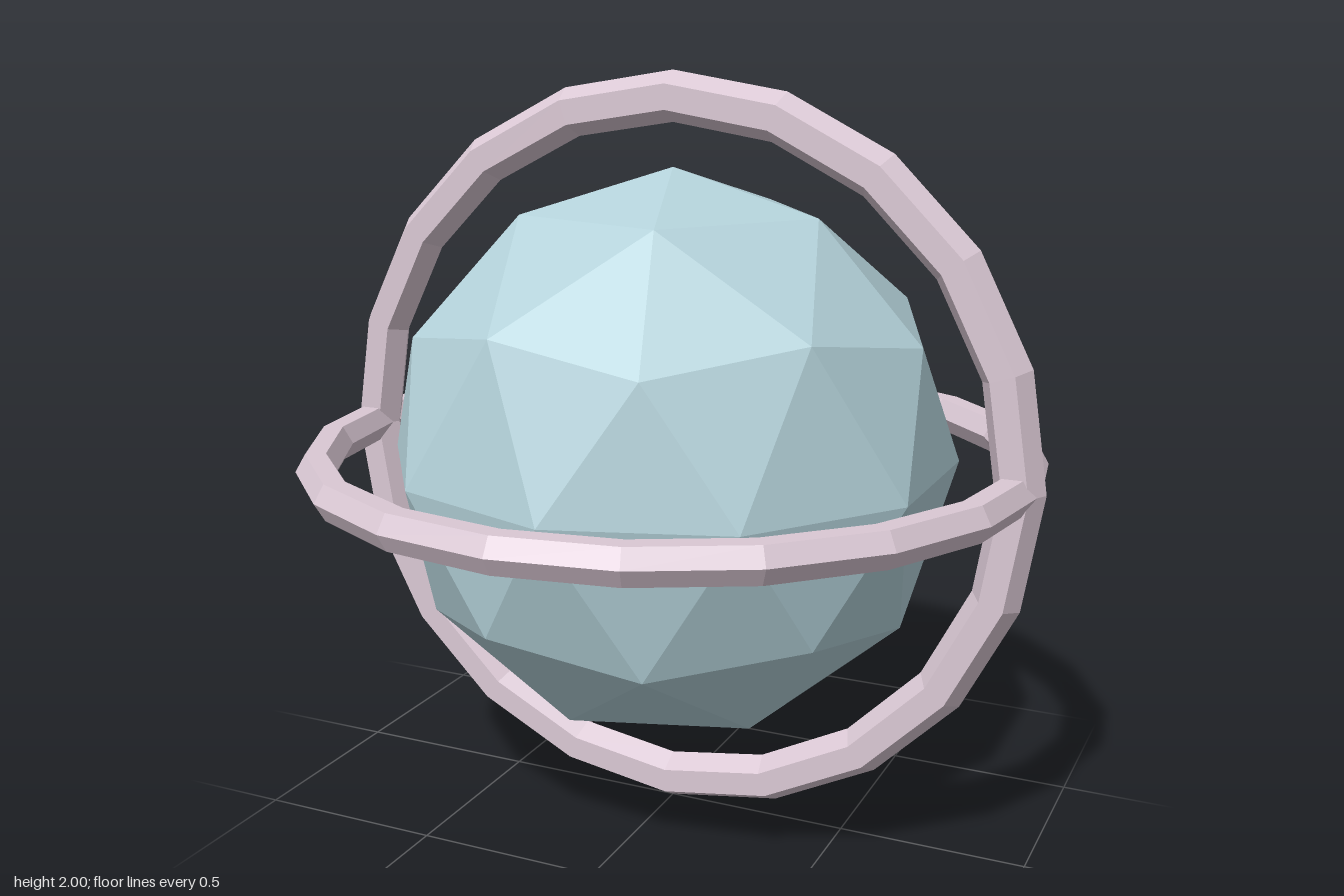
import * as THREE from 'three';

export function createModel() {
  const group = new THREE.Group();
  const blue = new THREE.MeshStandardMaterial({ color: 0xb4d2da, flatShading: true });
  blue.name = 'paleBlue';
  const pink = new THREE.MeshStandardMaterial({ color: 0xdac8d4, flatShading: true });
  pink.name = 'palePink';

  const add = (name, geometry, material) => {
    const mesh = new THREE.Mesh(geometry, material);
    mesh.name = name;
    mesh.position.y = 1;
    group.add(mesh);
  };

  // Faceted globe, turned so that one corner of the icosahedron points straight up
  const tilt = Math.atan(2 / (1 + Math.sqrt(5)));
  add('globe', new THREE.IcosahedronGeometry(0.757, 1).rotateZ(-tilt), blue);

  // Two crossing hexagonal-section rings; the upright one is slightly thicker
  add('uprightRing', new THREE.TorusGeometry(0.935, 0.065, 6, 20), pink);
  add('levelRing', new THREE.TorusGeometry(0.935, 0.053, 6, 20).rotateX(Math.PI / 2), pink);

  return group;
}
